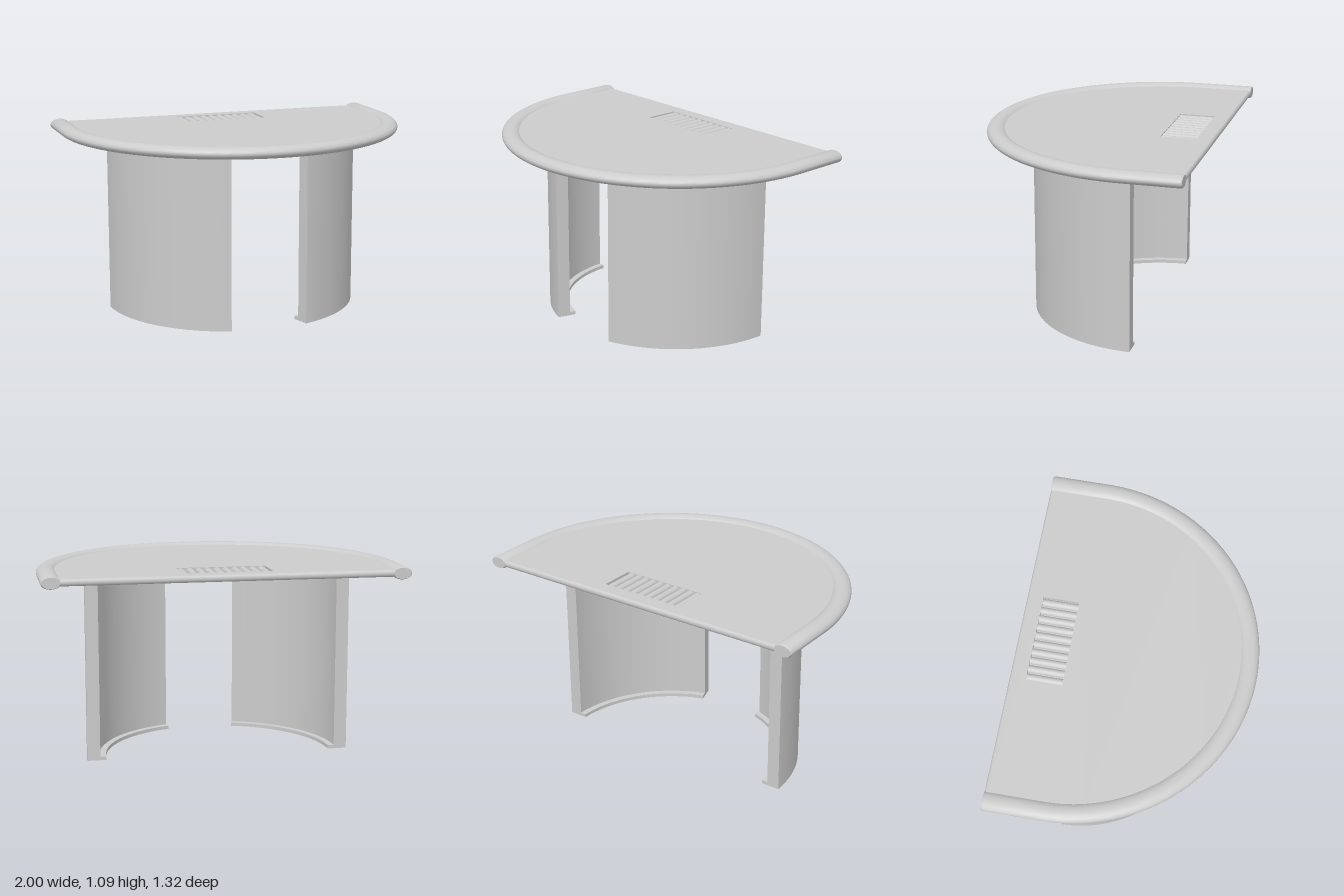
import * as THREE from 'three';
import { toCreasedNormals } from 'three/addons/utils/BufferGeometryUtils.js';

const CZ = -0.34;           // centre of the round front
const BACK = -0.66;         // straight back edge
const MID = 1.053;          // middle height of the rim
const RIM_W = 0.054, RIM_H = 0.034, RIM_R = 1 - RIM_W;
const material = new THREE.MeshStandardMaterial({ color: 0xcccccc });

function addMesh(parent, name, geometry) {
  const mesh = new THREE.Mesh(geometry, material);
  mesh.name = name;
  parent.add(mesh);
  return mesh;
}

// Extrude a plan shape (x, z) between two heights
function slab(shape, bottom, top) {
  const g = new THREE.ExtrudeGeometry(shape, { depth: top - bottom, bevelEnabled: false, curveSegments: 64 });
  g.rotateX(Math.PI / 2).translate(0, top, 0);
  return toCreasedNormals(g, 0.5);
}

// D-shaped plan of the table top
function topShape() {
  const s = new THREE.Shape();
  s.moveTo(-RIM_R, -0.645);
  s.lineTo(RIM_R, -0.645);
  s.lineTo(RIM_R, CZ);
  s.absarc(0, CZ, RIM_R, 0, Math.PI, false);
  s.closePath();
  return s;
}

// Curved wall plan, concentric with the round front
function arcShape(inner, outer, a0, a1) {
  const s = new THREE.Shape();
  s.absarc(0, CZ, outer, a0, a1, false);
  s.absarc(0, CZ, inner, a1, a0, true);
  s.closePath();
  return s;
}

// Elliptical bolster swept round the sides and front, with eased end caps
function rimGeometry() {
  const stations = [];
  const end = (x) => [[0, 0], [0, 0.9], [0.008, 1]].map(([dz, k]) => [x, BACK + dz, Math.sign(x), 0, k]);
  stations.push(...end(RIM_R));
  const steps = 72;
  for (let i = 0; i <= steps; i++) {
    const a = Math.PI * i / steps, c = Math.cos(a), s = Math.sin(a);
    stations.push([RIM_R * c, CZ + RIM_R * s, c, s, 1]);
  }
  stations.push(...end(-RIM_R).reverse());
  const sides = 28, pos = [], index = [];
  for (const [x, z, nx, nz, k] of stations) {
    for (let j = 0; j < sides; j++) {
      const t = 2 * Math.PI * j / sides, w = RIM_W * k * Math.cos(t);
      pos.push(x + nx * w, MID + RIM_H * k * Math.sin(t), z + nz * w);
    }
  }
  for (let i = 0; i < stations.length - 1; i++) {
    for (let j = 0; j < sides; j++) {
      const a = i * sides + j, b = i * sides + (j + 1) % sides;
      index.push(a, b, a + sides, b, b + sides, a + sides);
    }
  }
  const g = new THREE.BufferGeometry();
  g.setAttribute('position', new THREE.Float32BufferAttribute(pos, 3));
  g.setIndex(index);
  return toCreasedNormals(g, 0.6);
}

export function createModel() {
  const model = new THREE.Group();
  model.name = 'table';

  // Table top: solid lower layer, upper layer with the vent opening
  const top = new THREE.Group();
  top.name = 'tableTop';
  model.add(top);
  addMesh(top, 'lowerPanel', slab(topShape(), 1.034, 1.05));
  const upper = topShape();
  const hole = new THREE.Path();
  hole.moveTo(-0.25, -0.57);
  hole.lineTo(-0.25, -0.37);
  hole.lineTo(0.245, -0.37);
  hole.lineTo(0.245, -0.57);
  hole.closePath();
  upper.holes.push(hole);
  addMesh(top, 'upperPanel', slab(upper, 1.05, 1.072));

  // Rounded strip along the back edge
  const strip = new THREE.CylinderGeometry(1, 1, 1.84, 20).rotateZ(Math.PI / 2);
  strip.scale(1, 0.019, 0.015).translate(0, 1.053, -0.645);
  addMesh(top, 'backEdge', strip);

  // Soft rim
  addMesh(top, 'rim', rimGeometry());

  // Vent slats
  const vent = new THREE.Group();
  vent.name = 'vent';
  top.add(vent);
  for (let i = 0; i < 10; i++) {
    const g = new THREE.CylinderGeometry(1, 1, 0.2, 16).rotateX(Math.PI / 2).scale(0.021, 0.02, 1);
    addMesh(vent, 'slat', g).position.set(-0.227 + i * 0.0497, 1.051, -0.47);
  }

  // Curved legs with a thin inner foot lip, mirrored left and right
  const front = Math.acos(0.302);
  for (const [name, a0, a1] of [['leftLeg', 0.012, front], ['rightLeg', Math.PI - front, Math.PI - 0.012]]) {
    const leg = new THREE.Group();
    leg.name = name;
    model.add(leg);
    addMesh(leg, 'legWall', slab(arcShape(0.67, 0.742, a0, a1), 0, 1.036));
    addMesh(leg, 'footLip', slab(arcShape(0.635, 0.672, a0, a1), 0, 0.02));
  }
  return model;
}
